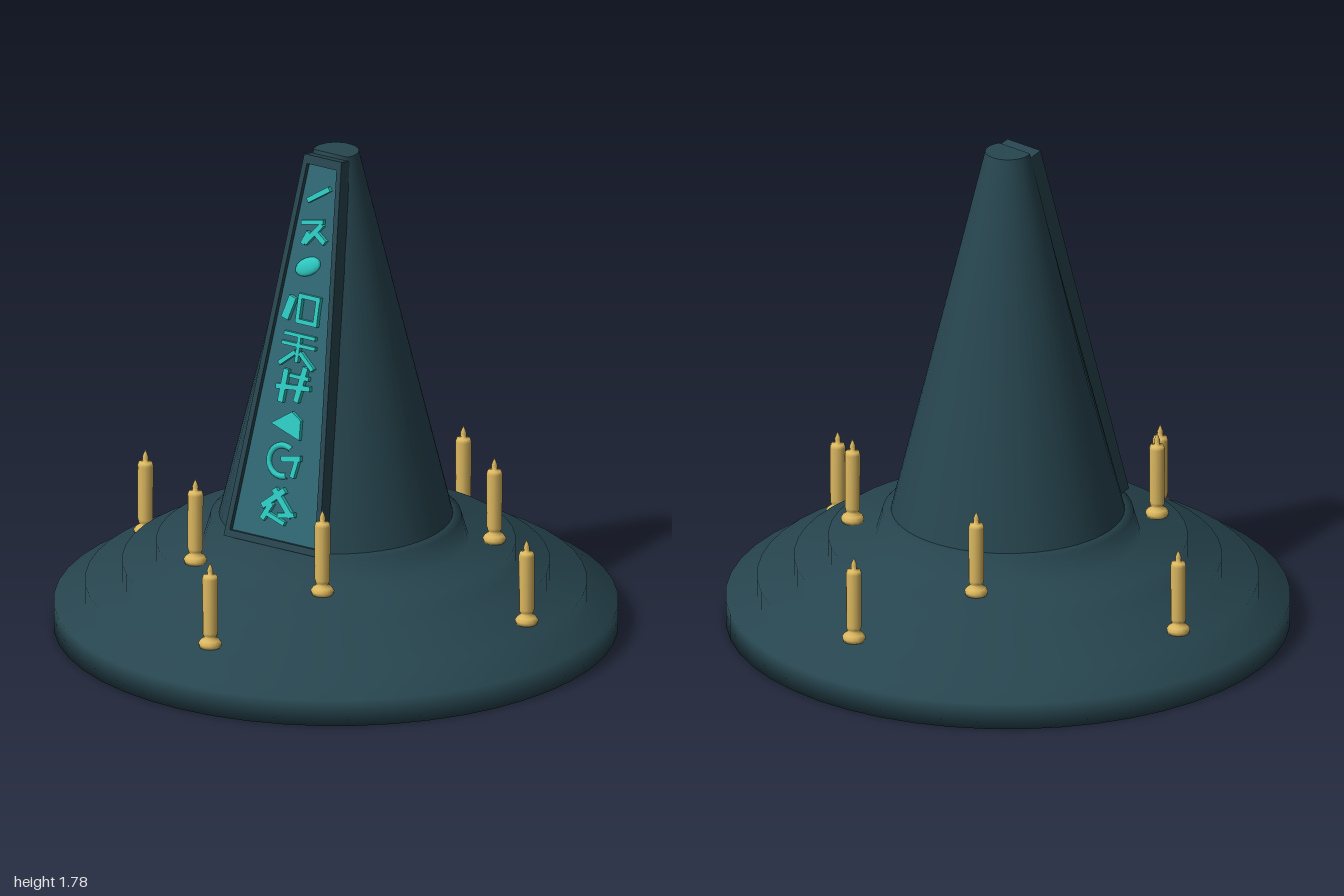
import * as THREE from 'three';

const mat = (name, color, side = THREE.FrontSide) => {
  const m = new THREE.MeshStandardMaterial({ color, side });
  m.name = name;
  return m;
};

const v2 = ([x, y]) => new THREE.Vector2(x, y);

function add(parent, name, geometry, material) {
  const mesh = new THREE.Mesh(geometry, material);
  mesh.name = name;
  parent.add(mesh);
  return mesh;
}

// Upright trapezoid, half widths at the bottom and top
const trapezoid = (w0, y0, w1, y1) => [[-w0, y0], [w0, y0], [w1, y1], [-w1, y1]].map(v2);

export function createModel() {
  const stone = mat('dark slate', 0x27454f);
  const inlay = mat('teal panel', 0x2f6772);
  const glow = mat('turquoise', 0x2cc8c0);
  const gold = mat('gold', 0xdcb860);
  const model = new THREE.Group();
  model.name = 'monument';

  // Stepped round plinth
  const steps = [
    [0, 0], [0.99, 0], [0.99, 0.095], [0.88, 0.1], [0.88, 0.172], [0.75, 0.177],
    [0.75, 0.247], [0.63, 0.25], [0.63, 0.322], [0.465, 0.327], [0.44, 0.415], [0.4, 0.425], [0, 0.43],
  ];
  add(model, 'steppedPlinth', new THREE.LatheGeometry(steps.map(v2), 48), stone);

  // Tapered tower, cut back behind the front panel
  const y0 = 0.4, y1 = 1.78;
  const tower = new THREE.CylinderGeometry(0.08, 0.415, y1 - y0, 64);
  tower.translate(0, (y0 + y1) / 2, 0);
  const p = tower.attributes.position;
  for (let i = 0; i < p.count; i++) {
    const limit = 0.415 - (p.getY(i) - y0) * 0.243 - 0.045;
    p.setZ(i, Math.min(p.getZ(i), limit));
  }
  add(model, 'tower', tower, stone);

  // Leaning front panel: raised frame, recessed inlay
  const panel = new THREE.Group();
  panel.name = 'frontPanel';
  panel.position.set(0, 0.425, 0.412);
  panel.rotation.x = -0.238;
  model.add(panel);

  const frameShape = new THREE.Shape(trapezoid(0.2, 0, 0.078, 1.392));
  frameShape.holes.push(new THREE.Path(trapezoid(0.178, 0.025, 0.062, 1.36)));
  const frame = new THREE.ExtrudeGeometry(frameShape, { depth: 0.08, bevelEnabled: false });
  frame.translate(0, 0, -0.08);
  add(panel, 'panelFrame', frame, stone);

  const plate = new THREE.ShapeGeometry(new THREE.Shape(trapezoid(0.18, 0.02, 0.063, 1.365)));
  add(panel, 'panelInlay', plate, inlay).position.z = -0.018;

  // Abstract carved strokes: x, y, length, width, angle
  const strokes = [
    [0, 1.26, 0.1, 0.018, 0.6],
    [-0.01, 1.16, 0.09, 0.016, 0.2], [0.0, 1.12, 0.1, 0.018, 0.9], [0.03, 1.11, 0.05, 0.02, -0.6], [-0.03, 1.1, 0.05, 0.016, 1.2],
    [-0.06, 0.845, 0.085, 0.03, 1.3], [0.02, 0.895, 0.09, 0.016, 0], [0.02, 0.805, 0.09, 0.016, 0],
    [-0.018, 0.85, 0.1, 0.016, 1.57], [0.056, 0.85, 0.1, 0.016, 1.57],
    [0, 0.755, 0.13, 0.013, 0], [0, 0.72, 0.14, 0.013, 0], [0, 0.71, 0.1, 0.014, 1.57], [-0.04, 0.67, 0.08, 0.016, 0.7], [0.04, 0.67, 0.08, 0.016, -0.7],
    [-0.04, 0.57, 0.12, 0.022, 1.5], [0.03, 0.585, 0.13, 0.022, 1.4], [0, 0.57, 0.14, 0.018, 0.1], [0.02, 0.61, 0.08, 0.014, 0],
    [0.03, 0.32, 0.08, 0.02, 0.2], [0.05, 0.29, 0.07, 0.018, 1.4],
    [-0.02, 0.17, 0.11, 0.022, 0.7], [0.02, 0.16, 0.12, 0.022, -0.8], [0.04, 0.12, 0.07, 0.018, 0.2], [-0.04, 0.12, 0.07, 0.02, 1.1], [0.0, 0.1, 0.08, 0.016, -0.3],
  ];
  for (const [x, y, length, width, angle] of strokes) {
    const s = add(panel, 'carvedStroke', new THREE.BoxGeometry(length, width, 0.018), glow);
    s.position.set(x, y, -0.01);
    s.rotation.z = angle;
  }

  // Larger carved marks: pebble, wedge and curl
  const pebble = add(panel, 'carvedPebble', new THREE.SphereGeometry(1, 12, 8), glow);
  pebble.scale.set(0.055, 0.032, 0.014);
  pebble.position.set(-0.01, 1.0, -0.014);
  pebble.rotation.z = 0.5;
  const wedgeShape = new THREE.Shape([[-0.07, 0.43], [0.055, 0.39], [0.05, 0.46], [0.01, 0.485]].map(v2));
  const wedge = new THREE.ExtrudeGeometry(wedgeShape, { depth: 0.016, bevelEnabled: false });
  add(panel, 'carvedWedge', wedge, glow).position.z = -0.018;
  const curl = add(panel, 'carvedCurl', new THREE.TorusGeometry(0.055, 0.011, 6, 16, 4.2), glow);
  curl.position.set(-0.01, 0.305, -0.014);
  curl.rotation.z = 1.0;

  // Candles on the steps
  const candleProfile = [
    [0, 0], [0.038, 0], [0.042, 0.014], [0.034, 0.026], [0.02, 0.036], [0.026, 0.046], [0.027, 0.056],
    [0.028, 0.255], [0.024, 0.267], [0.009, 0.27], [0.011, 0.286], [0.006, 0.3], [0, 0.315],
  ];
  const candle = new THREE.LatheGeometry(candleProfile.map(v2), 12);
  const places = [
    [0, -0.81, 0], [-0.8, 0, 0], [0.8, 0, 0], [0, 0.8, 0],
    [-0.28, -0.48, 1], [0.48, -0.28, 1], [-0.28, 0.47, 1], [0.26, 0.48, 1],
  ];
  for (const [x, z, upper] of places) {
    add(model, 'candle', candle, gold).position.set(x, upper ? 0.325 : 0.175, z);
  }

  return model;
}
